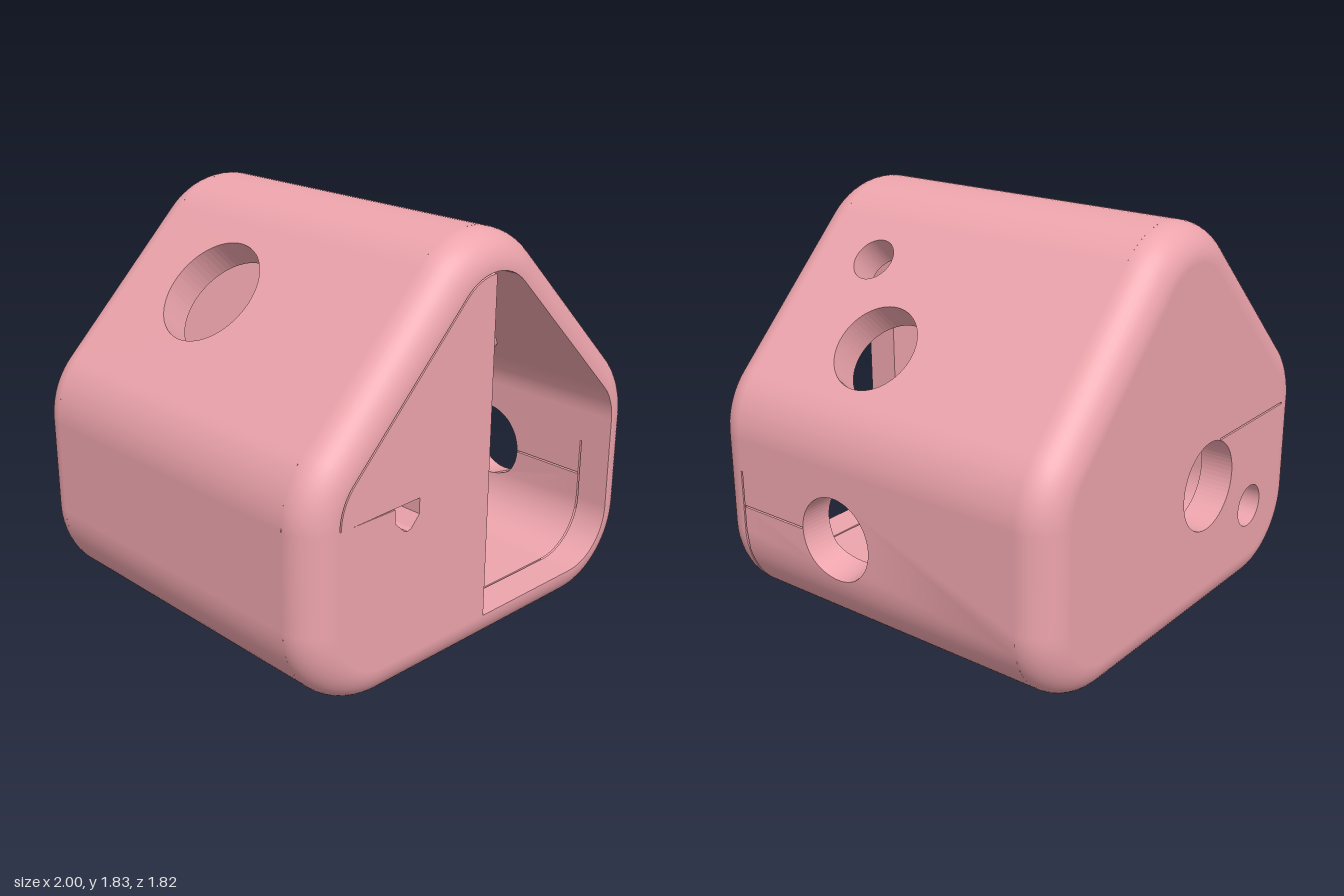
import * as THREE from 'three';

const R = 0.4;        // outer corner radius of the house profile
const T = 0.155;      // wall thickness, also the edge fillet radius
const ZW = 0.755;     // half depth of the straight walls
const GAP = 0.008;    // width of the thin slits
const SAG = 0.25;     // how far the right wall panel wraps into its lower corner (radians)

// House profile: rounded corners, counter-clockwise from the lower right
const corners = [
  { name: 'lowerRightCorner', x: 0.6, y: 0.4, a0: -90, a1: 0 },
  { name: 'rightEave', x: 0.6, y: 0.829, a0: 0, a1: 45 },
  { name: 'ridge', x: 0, y: 1.429, a0: 45, a1: 135 },
  { name: 'leftEave', x: -0.6, y: 0.829, a0: 135, a1: 180 },
  { name: 'lowerLeftCorner', x: -0.6, y: 0.4, a0: 180, a1: 270 },
].map(c => ({ ...c, a0: THREE.MathUtils.degToRad(c.a0), a1: THREE.MathUtils.degToRad(c.a1) }));

const V = (x, y) => new THREE.Vector2(x, y);

// Points of an arc, both ends included
function arc(x, y, r, a0, a1, n = 16) {
  return Array.from({ length: n + 1 }, (_, i) => {
    const a = a0 + (a1 - a0) * i / n;
    return V(x + r * Math.cos(a), y + r * Math.sin(a));
  });
}

const roundHole = (x, y, r) => new THREE.Path().absarc(x, y, r, 0, Math.PI * 2, true);
const slit = (x0, y0, x1, y1) => new THREE.Path([V(x0, y0), V(x0, y1), V(x1, y1), V(x1, y0)]);

function slab(points, holes = []) {
  const shape = new THREE.Shape(points);
  shape.holes.push(...holes);
  return new THREE.ExtrudeGeometry(shape, { depth: T, bevelEnabled: false, curveSegments: 32 });
}

// Surface swept round the profile; each row is [inset, z, normal outward, normal z]
function ring(rows) {
  const pos = [], nor = [], idx = [];
  const pts = corners.flatMap(c => arc(0, 0, 1, c.a0, c.a1).map(n => ({ c, n })));
  pts.push(pts[0]);
  for (const { c, n } of pts) {
    for (const [d, z, no, nz] of rows) {
      pos.push(c.x + n.x * (R - d), c.y + n.y * (R - d), z);
      nor.push(n.x * no, n.y * no, nz);
    }
  }
  const m = rows.length;
  for (let i = 0; i < pts.length - 1; i++) {
    for (let j = 0; j < m - 1; j++) {
      const a = i * m + j, b = a + m;
      idx.push(a, b, b + 1, a, b + 1, a + 1);
    }
  }
  const g = new THREE.BufferGeometry();
  g.setAttribute('position', new THREE.Float32BufferAttribute(pos, 3));
  g.setAttribute('normal', new THREE.Float32BufferAttribute(nor, 3));
  g.setIndex(idx);
  return g;
}

// Quarter-round rows between two angles, for the front (+1) or back (-1) edge
function filletRows(side) {
  return Array.from({ length: 13 }, (_, j) => {
    const p = (side > 0 ? j : j - 12) / 12 * Math.PI / 2;
    return [T * (1 - Math.cos(p)), side * ZW + T * Math.sin(p), Math.cos(p), Math.sin(p)];
  });
}

export function createModel() {
  const house = new THREE.Group();
  house.name = 'house';
  const material = new THREE.MeshStandardMaterial({ color: 0xeda4ac, side: THREE.DoubleSide });
  const add = (name, geometry) => {
    const mesh = new THREE.Mesh(geometry, material);
    mesh.name = name;
    house.add(mesh);
    return mesh;
  };

  // Flat walls between the corners, with their round openings (u along profile, v along z)
  const cut = ZW - GAP, low = -SAG * R;
  const walls = [
    { name: 'rightWall', holes: [roundHole(0.115, 0.19, 0.19), slit(0.111, 0.385, 0.119, 0.744)],
      outline: L => [V(low, -ZW), V(0, -ZW), V(L, -ZW), V(L, ZW), V(0.28, ZW), V(0.28, cut), V(0, cut), V(low, cut)] },
    { name: 'rightRoof', holes: [roundHole(0.245, 0.195, 0.2), roundHole(0.641, 0.455, 0.1)] },
    { name: 'leftRoof', holes: [roundHole(0.35, -0.225, 0.25)] },
    { name: 'leftWall' },
    { name: 'floor', outline: L => [V(0, -ZW), V(L, -ZW), V(L, cut), V(0.7, cut), V(0.7, ZW), V(0, ZW)] },
  ];
  walls.forEach((w, i) => {
    const c = corners[i], next = corners[(i + 1) % corners.length];
    const L = Math.hypot(next.x - c.x, next.y - c.y);
    const points = w.outline ? w.outline(L) : [V(0, -ZW), V(L, -ZW), V(L, ZW), V(0, ZW)];
    const g = slab(points, w.holes);
    // Wrap whatever lies below the panel's start round the corner
    const p = g.attributes.position, n = g.attributes.normal;
    for (let k = 0; k < p.count; k++) {
      const u = p.getX(k);
      if (u >= 0) continue;
      const a = u / R, s = Math.sin(a), co = Math.cos(a), r = R - T + p.getZ(k);
      p.setX(k, r * s);
      p.setZ(k, r * co - (R - T));
      const nx = n.getX(k), nz = n.getZ(k);
      n.setX(k, nx * co + nz * s);
      n.setZ(k, nz * co - nx * s);
    }
    const nx = Math.cos(c.a1), ny = Math.sin(c.a1);
    const frame = new THREE.Matrix4().makeBasis(
      new THREE.Vector3(-ny, nx, 0), new THREE.Vector3(0, 0, 1), new THREE.Vector3(nx, ny, 0));
    frame.setPosition(c.x + nx * (R - T), c.y + ny * (R - T), 0);
    add(w.name, g.applyMatrix4(frame));
  });

  // Rounded corners, outside and inside
  corners.forEach((c, i) => {
    const end = i === 0 ? c.a1 - SAG : c.a1;
    const z1 = i === 0 ? cut : ZW;
    for (const [side, r] of [['Outside', R], ['Inside', R - T]]) {
      const g = new THREE.CylinderGeometry(r, r, z1 + ZW, 20, 1, true, c.a0 + Math.PI / 2, end - c.a0);
      g.rotateX(Math.PI / 2);
      add(c.name + side, g).position.set(c.x, c.y, (z1 - ZW) / 2);
    }
  });

  // Rounded front and back edges; the front one is a closed frame round the opening
  add('backEdge', ring(filletRows(-1)));
  add('frontEdge', ring(filletRows(1)));
  add('frontFrameInside', ring([[T, ZW + T, -1, 0], [T, ZW, -1, 0]]));
  add('frontFrameBack', ring([[T, ZW, 0, -1], [0, ZW, 0, -1]]));

  // Back wall with two openings and a slit
  const backOutline = corners.flatMap(c => arc(c.x, c.y, R - T, c.a0, c.a1));
  add('backWall', slab(backOutline, [
    roundHole(-0.18, 0.645, 0.205), roundHole(-0.57, 0.41, 0.1), slit(-0.835, 0.833, -0.262, 0.841),
  ])).position.z = -ZW - T;

  // Front panel covering the right-hand half, with a slit round its upper part and a keyhole
  const [, , ridge, eave, lower] = corners;
  const r = R - T, rs = r - GAP;
  add('frontPanel', slab([
    V(0, 1.429 + rs),
    ...arc(ridge.x, ridge.y, rs, Math.PI / 2, ridge.a1, 10),
    ...arc(eave.x, eave.y, rs, eave.a0, eave.a1),
    V(-0.837, 0.838), V(-0.415, 0.838), V(-0.415, 0.77), V(-0.46, 0.722),
    V(-0.48, 0.714), V(-0.5, 0.722), V(-0.55, 0.77), V(-0.55, 0.83), V(-0.845, 0.83),
    ...arc(lower.x, lower.y, r, lower.a0, lower.a1),
    V(0, T),
  ])).position.z = ZW;

  return house;
}
